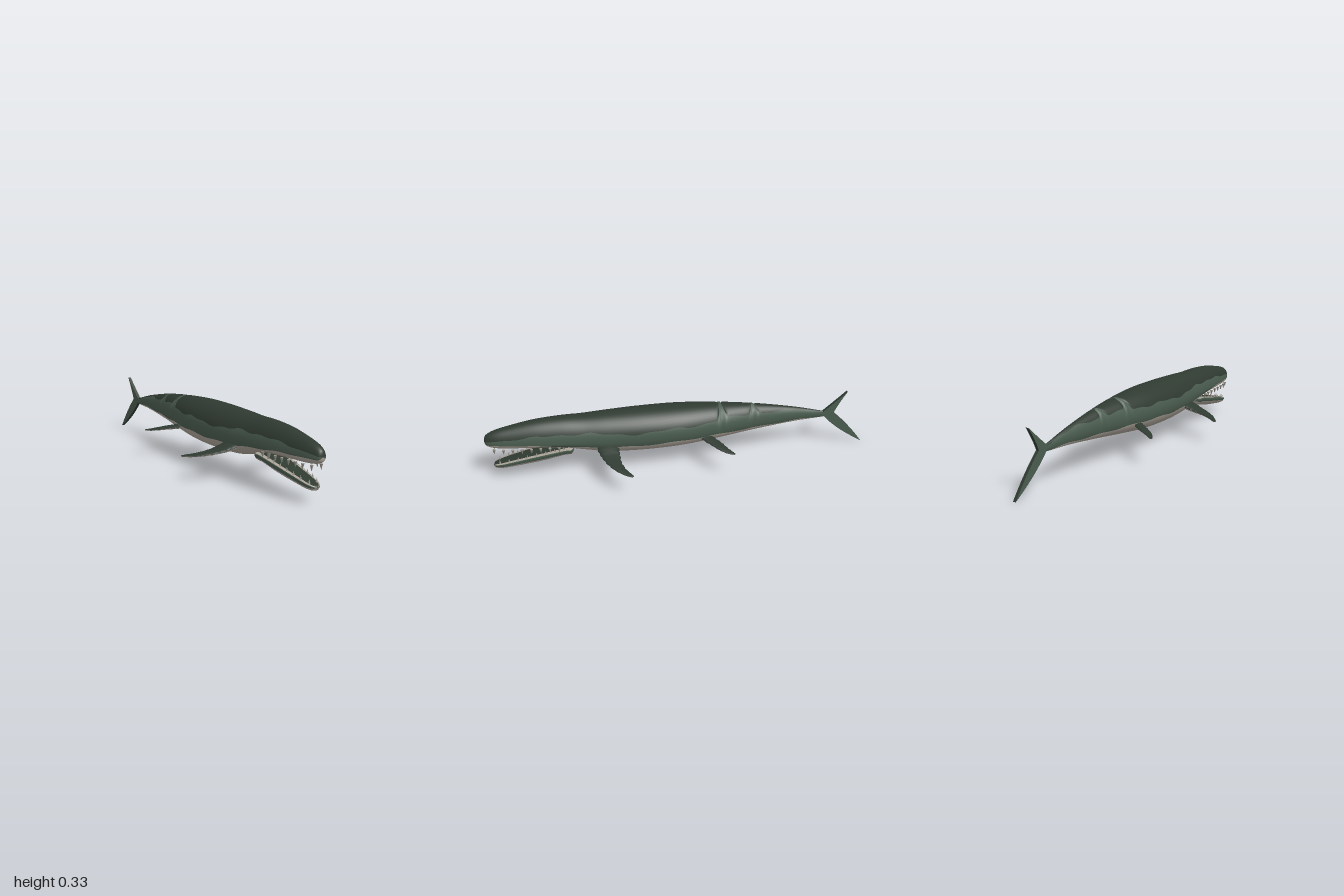
import * as THREE from 'three';

const mat = (name, color) => Object.assign(new THREE.MeshStandardMaterial({ color }), { name });
const HALF = Math.PI / 2;

// Smoothly resample a table of cross-section rows
function resample(rows, perSpan) {
  const at = i => rows[Math.max(0, Math.min(rows.length - 1, i))];
  const out = [];
  for (let i = 0; i < rows.length - 1; i++) {
    for (let s = 0; s < perSpan; s++) {
      const t = s / perSpan;
      out.push(rows[i].map((b, k) => {
        const a = at(i - 1)[k], c = at(i + 1)[k], d = at(i + 2)[k];
        return b + 0.5 * t * (c - a + t * (2 * a - 5 * b + 4 * c - d + t * (3 * (b - c) + d - a)));
      }));
    }
  }
  out.push(rows[rows.length - 1]);
  return out;
}

// Loft oval rings along -z. Row: [z, halfWidth, top, middle, bottom, centreX].
// breaks(row) gives the angles (0 = top, PI = bottom) where the colour bands change.
function loft(rows, breaks, materials, steps) {
  const pos = [], bandOf = [];
  materials.forEach((m, b) => { for (let s = 0; s < steps[b]; s++) bandOf.push(b); });
  const half = bandOf.length, n = half * 2;
  for (const row of rows) {
    const [z, w, top, mid, bot, cx] = row;
    const br = [0, ...breaks(row), Math.PI];
    const angles = [];
    materials.forEach((m, b) => {
      for (let s = 0; s < steps[b]; s++) angles.push(br[b] + (br[b + 1] - br[b]) * s / steps[b]);
    });
    angles.push(Math.PI);
    for (let j = 0; j < n; j++) {
      const side = j <= half ? 1 : -1;
      const t = angles[j <= half ? j : n - j];
      const h = t < HALF ? top - mid : mid - bot;
      pos.push(cx + side * w * Math.sin(t), mid + h * Math.cos(t), z);
    }
  }
  const lists = materials.map(() => []);
  for (let i = 0; i < rows.length - 1; i++) {
    for (let j = 0; j < n; j++) {
      const k = (j + 1) % n;
      const a = i * n + j, b = i * n + k, c = b + n, d = a + n;
      lists[bandOf[j < half ? j : n - 1 - j]].push(a, b, d, b, c, d);
    }
  }
  const geo = new THREE.BufferGeometry();
  geo.setAttribute('position', new THREE.Float32BufferAttribute(pos, 3));
  geo.setIndex(lists.flat());
  let start = 0;
  lists.forEach((l, b) => { geo.addGroup(start, l.length, b); start += l.length; });
  geo.computeVertexNormals();
  return new THREE.Mesh(geo, materials);
}

// Angle on a ring at which the surface has height y
function angleAt(y, top, mid, bot) {
  const h = y > mid ? top - mid : mid - bot;
  return Math.acos(THREE.MathUtils.clamp((y - mid) / Math.max(h, 1e-4), -1, 1));
}

export function createModel() {
  const model = new THREE.Group();
  const dark = mat('dark back', 0x2f3a31);
  const green = mat('grey green flank', 0x4a5c4f);
  const pale = mat('pale belly', 0xaaa297);
  const bone = mat('tooth bone', 0x99948a);
  const add = (mesh, name, parent = model) => { mesh.name = name; parent.add(mesh); return mesh; };

  // Body: z, half width, top, middle, bottom, centre x, dark edge y, pale edge y
  const bodyRows = resample([
    [1.00, 0.000, 0.226, 0.225, 0.224, 0, 0.225, 0.225],
    [0.99, 0.022, 0.255, 0.222, 0.200, 0, 0.228, 0.212],
    [0.95, 0.040, 0.276, 0.218, 0.186, 0, 0.236, 0.213],
    [0.88, 0.054, 0.293, 0.215, 0.180, 0, 0.243, 0.212],
    [0.75, 0.072, 0.315, 0.212, 0.176, 0, 0.252, 0.206],
    [0.62, 0.084, 0.323, 0.210, 0.166, 0, 0.260, 0.195],
    [0.50, 0.093, 0.322, 0.210, 0.136, 0, 0.260, 0.180],
    [0.38, 0.104, 0.326, 0.210, 0.111, 0, 0.246, 0.172],
    [0.20, 0.114, 0.329, 0.212, 0.101, 0, 0.244, 0.168],
    [0.00, 0.112, 0.326, 0.213, 0.105, 0, 0.250, 0.174],
    [-0.20, 0.086, 0.312, 0.214, 0.123, 0, 0.258, 0.176],
    [-0.40, 0.051, 0.288, 0.214, 0.144, 0, 0.258, 0.174],
    [-0.60, 0.025, 0.250, 0.207, 0.163, 0, 0.238, 0.178],
    [-0.74, 0.011, 0.214, 0.195, 0.170, 0, 0.212, 0.177],
    [-0.80, 0.006, 0.198, 0.188, 0.174, 0, 0.198, 0.178],
    [-0.81, 0.000, 0.190, 0.187, 0.184, 0, 0.190, 0.185],
  ], 16);
  const bodyBreaks = ([z, , top, mid, bot, , yd, yp]) => {
    const fade = THREE.MathUtils.smoothstep(0.97 - Math.abs(z), 0, 0.25);
    let edge = yd + fade * (0.005 * Math.sin(z * 19) + 0.003 * Math.sin(z * 43));
    // light rings crossing the back
    for (const ring of [-0.205, -0.378]) {
      const k = Math.min(1, 1.6 * Math.exp(-(((z - ring) / 0.016) ** 2)));
      edge += (top - edge) * k;
    }
    const paleEdge = yp + fade * 0.003 * Math.sin(z * 27);
    const a = angleAt(edge, top, mid, bot);
    return [a, Math.max(a, angleAt(paleEdge, top, mid, bot))];
  };
  add(loft(bodyRows, bodyBreaks, [dark, green, pale], [9, 6, 9]), 'body');

  // Open lower jaw with a dark mouth floor and pale gums
  const jawRows = resample([
    [0.965, 0.000, 0.082, 0.080, 0.078, 0],
    [0.955, 0.022, 0.092, 0.086, 0.067, 0],
    [0.92, 0.037, 0.101, 0.095, 0.063, 0],
    [0.85, 0.047, 0.117, 0.111, 0.070, 0],
    [0.72, 0.059, 0.143, 0.137, 0.088, 0],
    [0.61, 0.066, 0.164, 0.156, 0.112, 0],
    [0.57, 0.066, 0.168, 0.158, 0.118, 0],
    [0.55, 0.000, 0.155, 0.150, 0.145, 0],
  ], 5);
  add(loft(jawRows, () => [0.75, 1.3, 2.0], [dark, pale, green, pale], [4, 3, 4, 6]), 'lowerJaw');

  // Conical teeth along both jaws
  const upperTooth = new THREE.ConeGeometry(0.008, 0.028, 6).rotateX(Math.PI);
  const lowerTooth = new THREE.ConeGeometry(0.006, 0.024, 6);
  const teeth = add(new THREE.Group(), 'teeth');
  for (const s of [-1, 1]) {
    for (let i = 0; i < 8; i++) {
      const z = 0.955 - i * 0.046;
      const u = i / 7;
      const up = add(new THREE.Mesh(upperTooth, bone), 'upperTooth', teeth);
      up.position.set(s * (0.026 + 0.036 * Math.sqrt(u)), 0.17 - 0.004 * u, z);
      const low = add(new THREE.Mesh(lowerTooth, bone), 'lowerTooth', teeth);
      low.position.set(s * (0.020 + 0.033 * Math.sqrt(u)), 0.105 + 0.062 * u, z - 0.022);
    }
  }

  // Flippers: -span, half chord, top, middle, bottom, chord centre (world z)
  const flippers = {
    frontFlipper: [
      [-0.07, 0.052, 0.188, 0.168, 0.146, 0.395],
      [-0.11, 0.052, 0.174, 0.158, 0.138, 0.388],
      [-0.15, 0.045, 0.158, 0.147, 0.132, 0.382],
      [-0.20, 0.035, 0.145, 0.137, 0.125, 0.370],
      [-0.25, 0.026, 0.134, 0.128, 0.118, 0.345],
      [-0.285, 0.018, 0.126, 0.121, 0.115, 0.315],
      [-0.300, 0.010, 0.122, 0.119, 0.115, 0.302],
      [-0.306, 0.000, 0.119, 0.118, 0.117, 0.298],
    ],
    rearFlipper: [
      [-0.06, 0.030, 0.182, 0.170, 0.156, -0.105],
      [-0.10, 0.033, 0.172, 0.162, 0.150, -0.132],
      [-0.14, 0.031, 0.163, 0.155, 0.146, -0.160],
      [-0.18, 0.026, 0.154, 0.148, 0.141, -0.185],
      [-0.21, 0.020, 0.146, 0.142, 0.137, -0.210],
      [-0.226, 0.011, 0.142, 0.139, 0.136, -0.228],
      [-0.232, 0.000, 0.139, 0.138, 0.137, -0.235],
    ],
  };
  for (const [name, rows] of Object.entries(flippers)) {
    const fine = resample(rows, 5);
    fine.forEach((r, i) => { r[1] *= 1 + 0.06 * Math.sin(i * 1.9); });
    for (const s of [1, -1]) {
      const fin = loft(fine, () => [HALF + 0.1], [dark, pale], [6, 6]);
      fin.geometry.rotateY(-HALF);
      const holder = add(new THREE.Group(), s > 0 ? name + 'Left' : name + 'Right');
      holder.scale.x = s;
      add(fin, name, holder);
    }
  }

  // Upright tail fin with a short upper lobe and a long lower lobe
  const fin = new THREE.Shape();
  fin.moveTo(0.76, 0.195);
  fin.quadraticCurveTo(0.81, 0.235, 0.898, 0.311);
  fin.quadraticCurveTo(0.85, 0.24, 0.83, 0.192);
  fin.quadraticCurveTo(0.92, 0.11, 1.0, 0.0);
  fin.quadraticCurveTo(0.85, 0.09, 0.775, 0.178);
  fin.closePath();
  const finGeo = new THREE.ExtrudeGeometry(fin, { depth: 0.016, bevelEnabled: false, curveSegments: 10 });
  finGeo.translate(0, 0, -0.008).rotateY(HALF);
  add(new THREE.Mesh(finGeo, [green, dark]), 'tailFin');

  return model;
}
